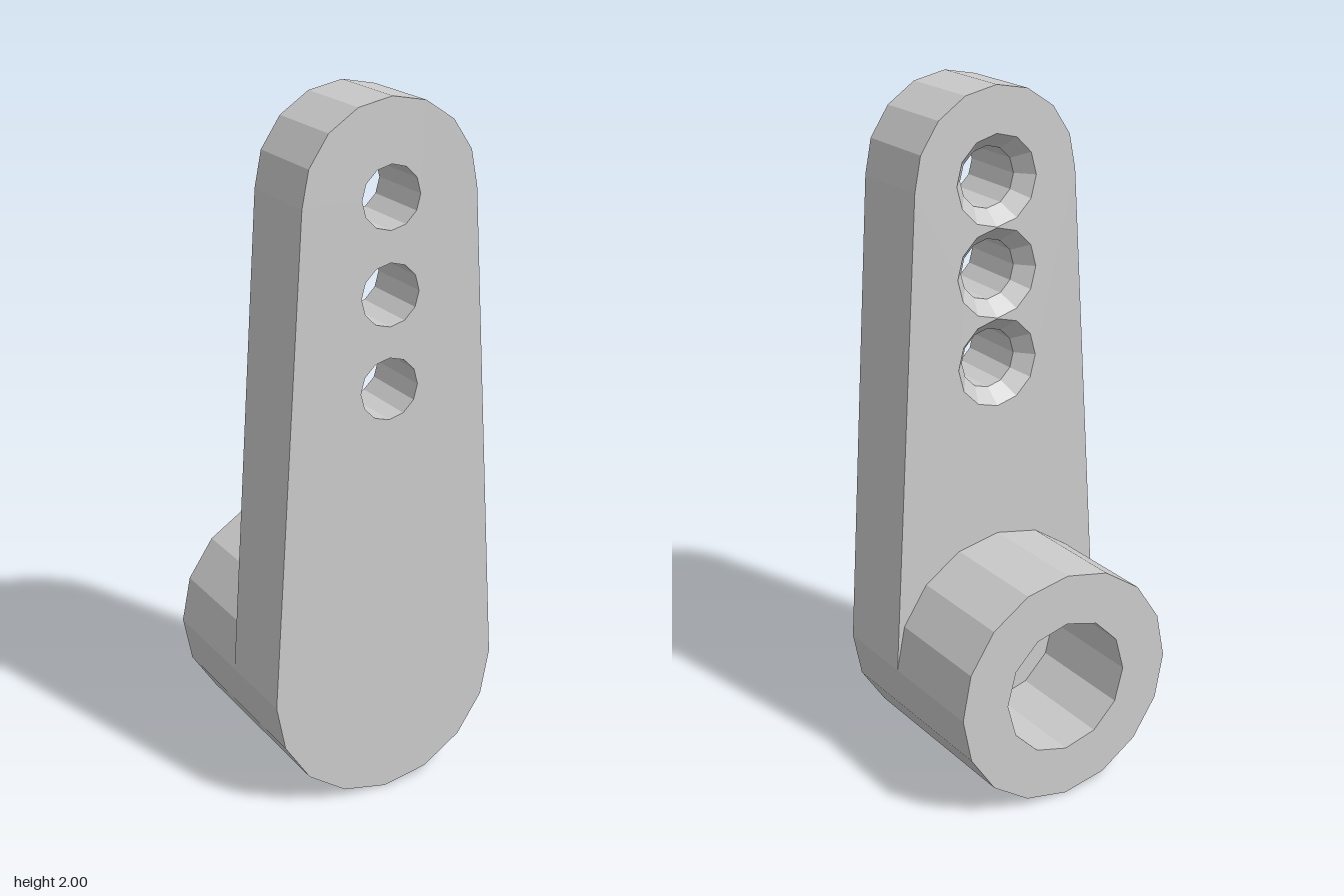
import * as THREE from 'three';
import { mergeGeometries } from 'three/addons/utils/BufferGeometryUtils.js';

const FRONT = 0.305, STEP = 0.045, BACK = -0.305, SINK = 0.095;
const HUB_Y = 0.349, HUB_R = 0.348, BORE_R = 0.2;
const TIP_Y = 1.74, TIP_R = 0.26;
const HOLE_R = 0.087, SINK_R = 0.129, HOLES = [1.22, 1.48, 1.74];

// Counter-clockwise points of a circle or arc
function arc(cy, r, sides, from = 0, to = Math.PI * 2) {
  const count = Math.abs(to - from) > 6 ? sides : sides + 1;
  return Array.from({ length: count }, (_, i) => {
    const a = from + (to - from) * i / sides;
    return new THREE.Vector2(r * Math.cos(a), cy + r * Math.sin(a));
  });
}

// Flat face with holes; back faces are turned round (every outline is symmetric in x)
function face(outline, holes, z, back = false) {
  const shape = new THREE.Shape(outline);
  shape.holes = holes.map(h => new THREE.Path(h));
  const g = new THREE.ShapeGeometry(shape).toNonIndexed();
  g.deleteAttribute('uv');
  if (back) g.rotateY(Math.PI);
  return g.translate(0, 0, z);
}

// Band joining a ring at zA (rear) to a ring at zB (front)
function wall(a, zA, b, zB, inward = false) {
  const pos = [];
  a.forEach((p, i) => {
    const j = (i + 1) % a.length;
    const A = [p.x, p.y, zA], B = [a[j].x, a[j].y, zA];
    const C = [b[j].x, b[j].y, zB], D = [b[i].x, b[i].y, zB];
    const quad = inward ? [A, C, B, A, D, C] : [A, B, C, A, C, D];
    quad.forEach(v => pos.push(...v));
  });
  const g = new THREE.BufferGeometry();
  g.setAttribute('position', new THREE.Float32BufferAttribute(pos, 3));
  g.computeVertexNormals();
  return g;
}

export function createModel() {
  const material = new THREE.MeshStandardMaterial({ color: 0xcccccc, flatShading: true });
  const group = new THREE.Group();
  const add = (name, parts) => {
    const mesh = new THREE.Mesh(mergeGeometries(parts), material);
    mesh.name = name;
    group.add(mesh);
  };

  const tip = arc(TIP_Y, TIP_R, 8, 0, Math.PI);
  const outline = [...tip, ...arc(HUB_Y, HUB_R, 8, Math.PI, Math.PI * 2)];
  const aboveHub = [...tip, ...arc(HUB_Y, HUB_R, 8, Math.PI, 0)];
  const small = HOLES.map(y => arc(y, HOLE_R, 12));
  const wide = HOLES.map(y => arc(y, SINK_R, 12));

  // Tapered arm, its rear face stopping at the hub
  add('arm', [
    face(outline, small, FRONT),
    face(aboveHub, wide, STEP, true),
    wall(outline, STEP, outline, FRONT),
  ]);

  // Through holes, countersunk from behind
  HOLES.forEach((y, i) => add('countersunkHole' + (i + 1), [
    wall(wide[i], STEP, small[i], SINK, true),
    wall(small[i], SINK, small[i], FRONT, true),
  ]));

  // Round hub with a blind bore
  const rim = arc(HUB_Y, HUB_R, 16), bore = arc(HUB_Y, BORE_R, 12);
  add('hub', [
    wall(rim, BACK, rim, STEP),
    face(rim, [bore], BACK, true),
    wall(bore, BACK, bore, STEP, true),
    face(bore, [], STEP, true),
  ]);

  return group;
}
